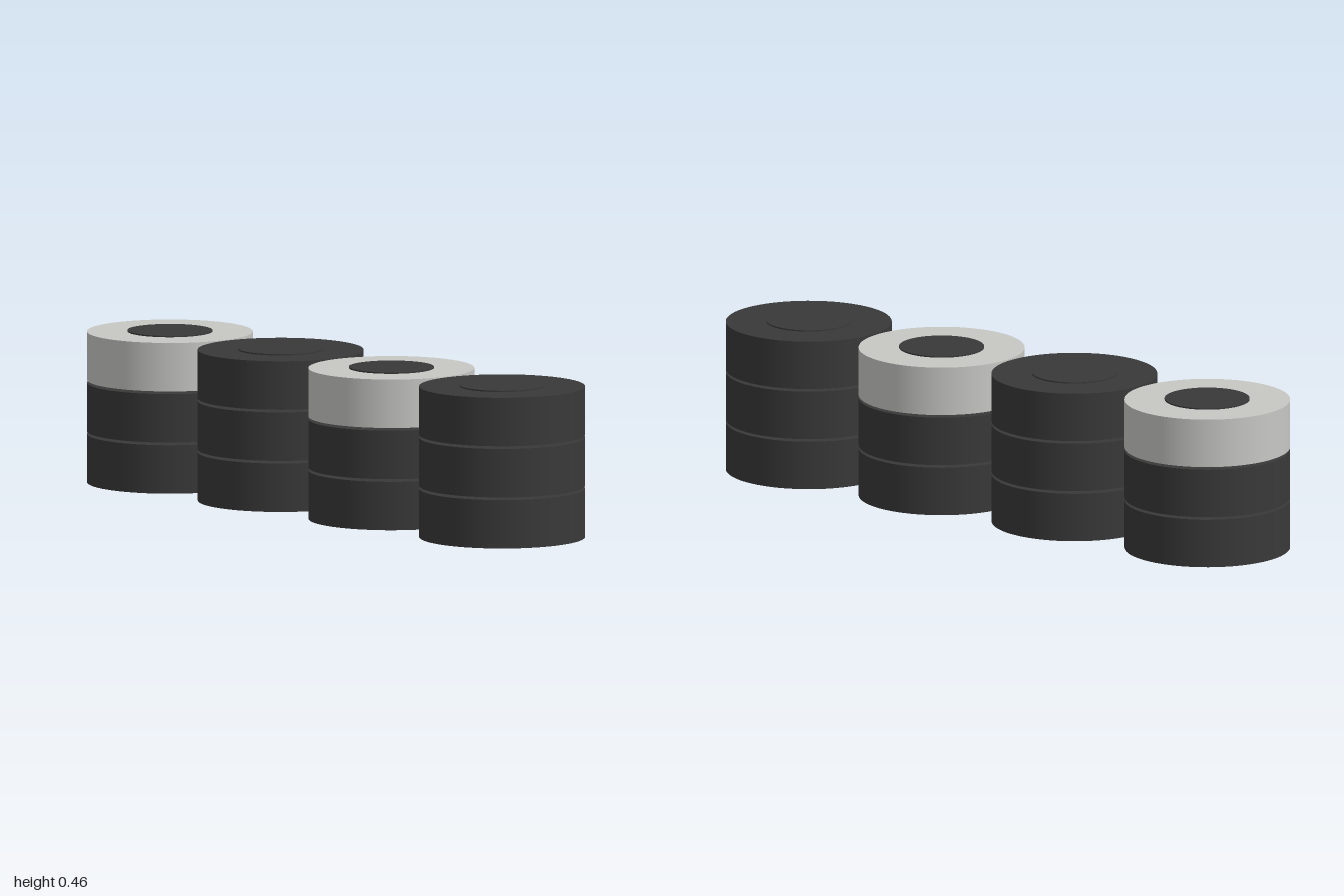
import * as THREE from 'three';

const RADIUS = 0.246, HUB_RADIUS = 0.126;
const PITCH = 0.153, LIP = 0.004; // disc spacing and hub overhang at each end
const SPACING = 0.5027;

export function createModel() {
  const model = new THREE.Group();
  model.name = 'discStacks';
  const black = new THREE.MeshStandardMaterial({ color: 0x393939 });
  black.name = 'black rubber';
  const grey = new THREE.MeshStandardMaterial({ color: 0xc7c7c4 });
  grey.name = 'light grey';

  const bodyGeometry = new THREE.CylinderGeometry(RADIUS, RADIUS, PITCH - 2 * LIP, 64);
  const hubGeometry = new THREE.CylinderGeometry(HUB_RADIUS, HUB_RADIUS, PITCH, 64);

  // One disc: a thick body with a hub standing slightly proud on both faces
  function makeDisc(material) {
    const disc = new THREE.Group();
    disc.name = 'disc';
    const body = new THREE.Mesh(bodyGeometry, material);
    body.name = 'discBody';
    const hub = new THREE.Mesh(hubGeometry, black);
    hub.name = 'discHub';
    disc.add(body, hub);
    return disc;
  }

  // Four stacks of three; every other stack has a light top disc
  for (let column = 0; column < 4; column++) {
    const stack = new THREE.Group();
    stack.name = 'stack' + (column + 1);
    stack.position.x = (column - 1.5) * SPACING;
    for (let level = 0; level < 3; level++) {
      const light = level === 2 && column % 2 === 0;
      const disc = makeDisc(light ? grey : black);
      disc.position.y = (level + 0.5) * PITCH;
      stack.add(disc);
    }
    model.add(stack);
  }
  return model;
}
